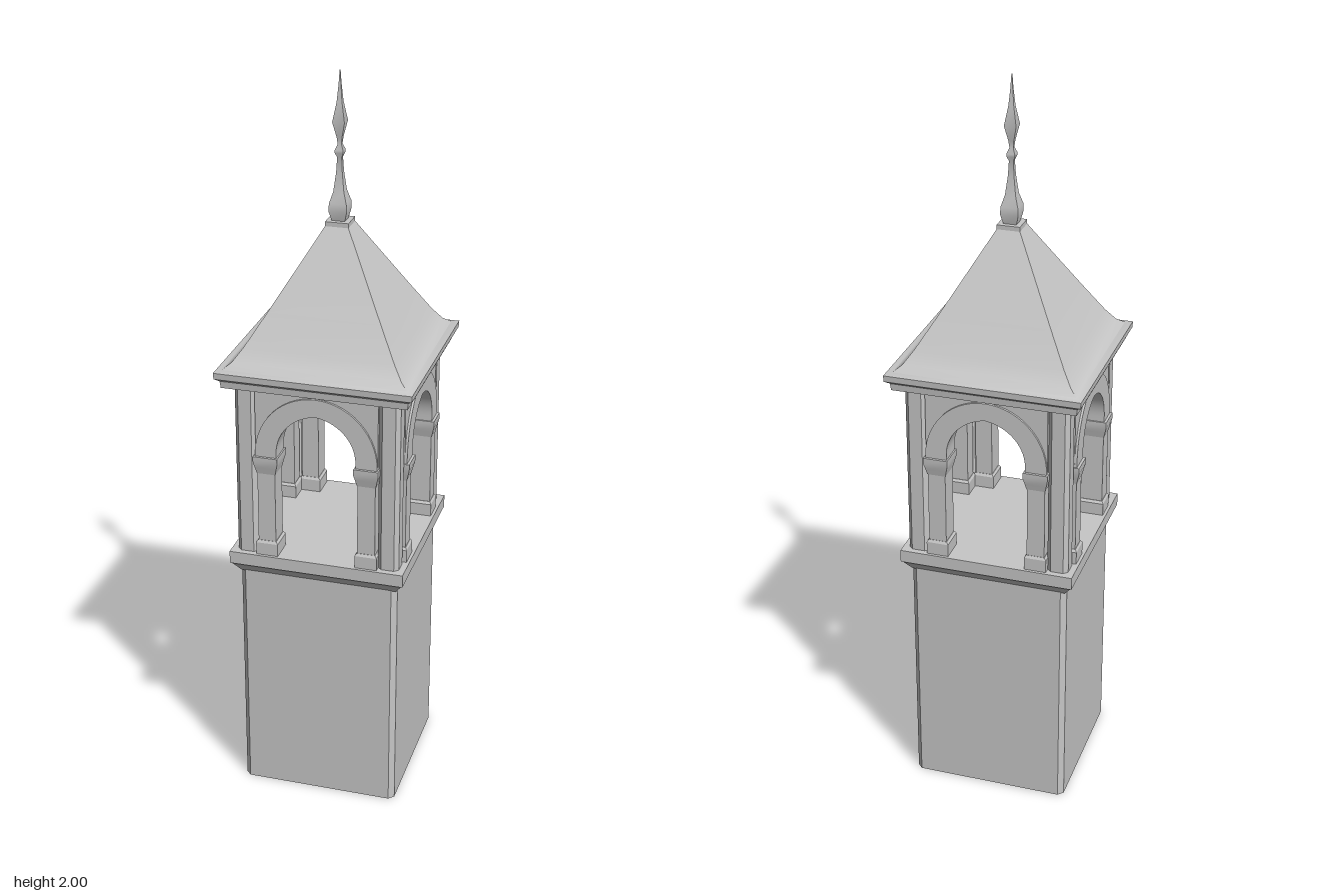
import * as THREE from 'three';
import { toCreasedNormals } from 'three/addons/utils/BufferGeometryUtils.js';

const stone = new THREE.MeshStandardMaterial({ color: 0xc6c6c6, side: THREE.DoubleSide });
stone.name = 'grey stone';

// Horizontal rectangle with optional chamfered corners, counter-clockwise from above
function ring(hx, hz, y, c) {
  if (!c) return [[hx, y, hz], [hx, y, -hz], [-hx, y, -hz], [-hx, y, hz]];
  return [
    [hx - c, y, hz], [hx, y, hz - c], [hx, y, c - hz], [hx - c, y, -hz],
    [c - hx, y, -hz], [-hx, y, c - hz], [-hx, y, hz - c], [c - hx, y, hz],
  ];
}

// Stack of rectangles [halfX, halfZ, y]
function loft(sections, { chamfer = 0, caps = true, crease = 0.5 } = {}) {
  const rings = sections.map(([hx, hz, y]) => ring(hx, hz, y, chamfer));
  const n = rings[0].length;
  const pos = [];
  const tri = (a, b, c) => pos.push(...a, ...b, ...c);
  for (let k = 0; k < rings.length - 1; k++) {
    for (let i = 0; i < n; i++) {
      const j = (i + 1) % n;
      const a = rings[k][i], b = rings[k][j], c = rings[k + 1][j], d = rings[k + 1][i];
      tri(a, b, c);
      tri(a, c, d);
    }
  }
  if (caps) {
    const lo = rings[0], hi = rings[rings.length - 1];
    for (let i = 1; i < n - 1; i++) {
      tri(lo[0], lo[i + 1], lo[i]);
      tri(hi[0], hi[i], hi[i + 1]);
    }
  }
  const geo = new THREE.BufferGeometry();
  geo.setAttribute('position', new THREE.Float32BufferAttribute(pos, 3));
  return toCreasedNormals(geo, crease);
}

const squareLoft = (profile, options) => loft(profile.map(([r, y]) => [r, r, y]), options);

function add(parent, name, geo) {
  const mesh = new THREE.Mesh(geo, stone);
  mesh.name = name;
  parent.add(mesh);
  return mesh;
}

// Arch curve from right to left, with a slight point at the crown
function archPoints(halfWidth, spring, rise, point) {
  const pts = [];
  for (let i = 0; i <= 28; i++) {
    const t = (i / 28) * Math.PI;
    const x = halfWidth * Math.cos(t);
    const tip = point * (1 - Math.abs(x) / halfWidth) ** 2;
    pts.push(new THREE.Vector2(x, spring + rise * Math.sin(t) + tip));
  }
  return pts;
}

function extrude(points, z0, z1) {
  const geo = new THREE.ExtrudeGeometry(new THREE.Shape(points), { depth: z1 - z0, bevelEnabled: false });
  geo.translate(0, 0, z0);
  return toCreasedNormals(geo, 0.5);
}

// One face of the belfry, looking towards +z
function belfrySide() {
  const side = new THREE.Group();
  side.name = 'belfrySide';
  const v = (x, y) => new THREE.Vector2(x, y);
  const outer = archPoints(0.165, 1.03, 0.175, 0);
  const inner = archPoints(0.107, 1.04, 0.11, 0.006);

  // Wall above the arch
  add(side, 'spandrel', extrude([...outer, v(-0.165, 1.215), v(0.165, 1.215)], 0.165, 0.222));
  // Raised arch moulding
  add(side, 'archRing', extrude(
    [v(0.165, 1.02), ...outer, v(-0.165, 1.02), v(-0.107, 1.02), ...inner.reverse(), v(0.107, 1.02)],
    0.163, 0.228));

  // Pilasters carrying the arch
  for (const s of [-1, 1]) {
    const pilaster = new THREE.Group();
    pilaster.name = 'pilaster';
    pilaster.position.set(s * 0.136, 0, 0.196);
    add(pilaster, 'pilasterBase', loft([
      [0.03, 0.035, 0.733], [0.03, 0.035, 0.77], [0.025, 0.031, 0.777]]));
    add(pilaster, 'pilasterShaft', loft([[0.024, 0.03, 0.77], [0.024, 0.03, 0.99]]));
    add(pilaster, 'pilasterCapital', loft([
      [0.025, 0.031, 0.975], [0.029, 0.035, 0.992], [0.033, 0.039, 1.008], [0.033, 0.039, 1.025]]));
    side.add(pilaster);
  }
  return side;
}

export function createModel() {
  const model = new THREE.Group();
  model.name = 'bellTower';

  // Hollow shaft, open underneath
  add(model, 'towerShaft', squareLoft([[0.217, 0], [0.217, 0.675]], { chamfer: 0.014, caps: false }));

  // Ledge with sloping underside
  add(model, 'ledge', squareLoft([[0.215, 0.67], [0.234, 0.697], [0.239, 0.7], [0.239, 0.735]]));

  // Belfry: corner piers and four arched sides
  for (const sx of [-1, 1]) {
    for (const sz of [-1, 1]) {
      const pier = add(model, 'cornerPier',
        loft([[0.0285, 0.0285, 0.733], [0.0285, 0.0285, 1.215]], { chamfer: 0.011 }));
      pier.position.set(sx * 0.1935, 0, sz * 0.1935);
    }
  }
  for (let i = 0; i < 4; i++) {
    const side = belfrySide();
    side.rotation.y = (i * Math.PI) / 2;
    model.add(side);
  }

  // Cornice under the roof
  add(model, 'cornice', squareLoft([
    [0.228, 1.21], [0.247, 1.217], [0.249, 1.236], [0.261, 1.245], [0.262, 1.262]]));

  // Hipped roof, flared at the eaves
  add(model, 'roof', squareLoft([
    [0.262, 1.262], [0.244, 1.266], [0.224, 1.281], [0.199, 1.316],
    [0.15, 1.398], [0.112, 1.463], [0.07, 1.535], [0.031, 1.602]], { crease: 0.8 }));

  // Square finial
  add(model, 'finialCap', squareLoft([[0.031, 1.6], [0.031, 1.614]]));
  add(model, 'finial', squareLoft([
    [0.017, 1.612], [0.024, 1.64], [0.023, 1.66], [0.014, 1.69], [0.008, 1.74], [0.006, 1.778],
    [0.011, 1.79], [0.011, 1.797], [0.005, 1.812], [0.007, 1.83], [0.016, 1.87],
    [0.007, 1.92], [0.003, 1.965], [0.001, 2]], { crease: 0.7 }));

  return model;
}
